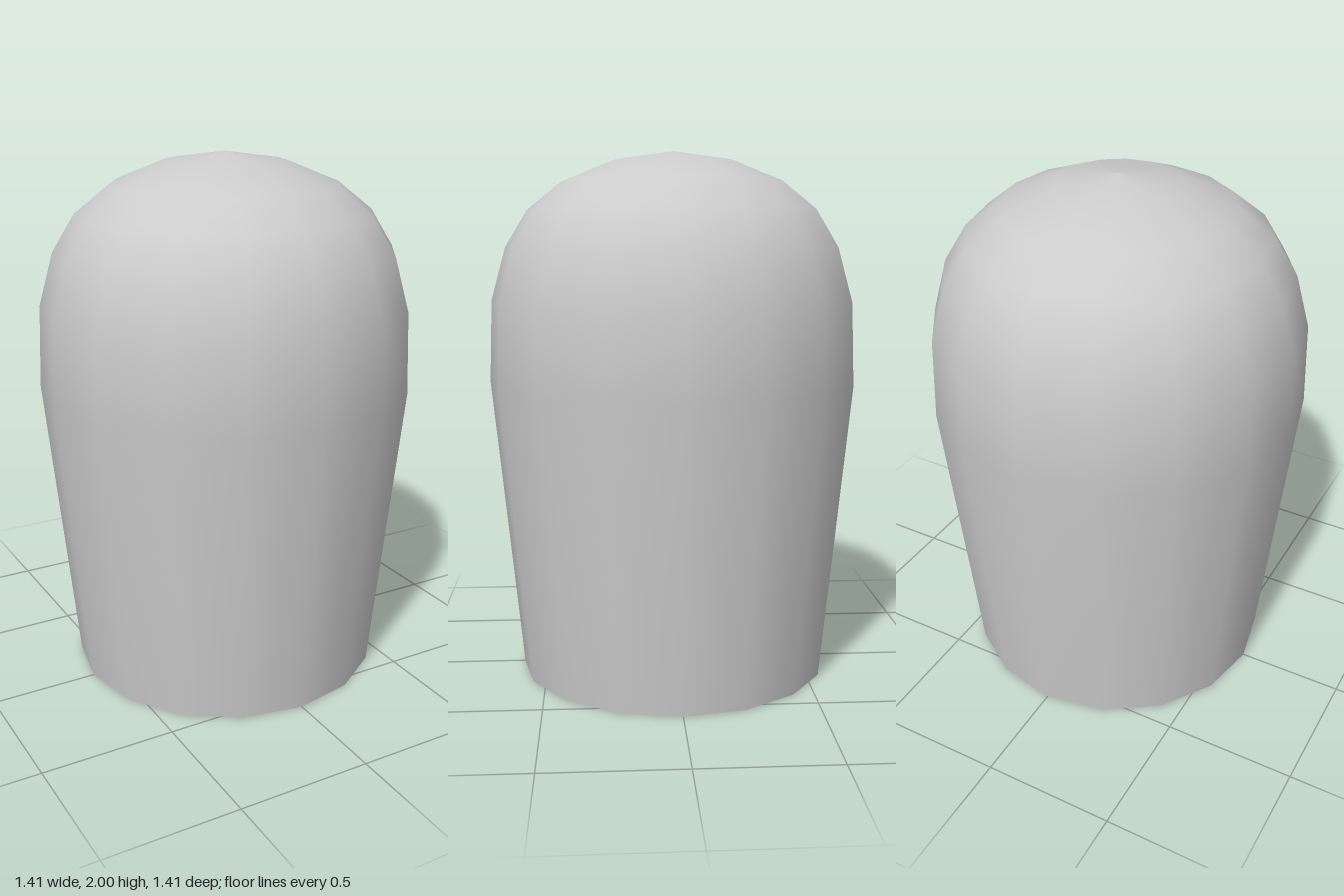
import * as THREE from 'three';

export function createModel() {
  const group = new THREE.Group();

  // Thin domed shell, open at the bottom
  const profile = [
    [0.593, 0], [0.706, 1.13], [0.695, 1.44], [0.64, 1.64],
    [0.555, 1.78], [0.425, 1.885], [0.23, 1.965], [0, 2],
  ].map(([r, y]) => new THREE.Vector2(r, y));
  const shell = new THREE.Mesh(
    new THREE.LatheGeometry(profile, 16),
    new THREE.MeshStandardMaterial({ color: 0xcccccc, side: THREE.DoubleSide }),
  );
  shell.name = 'domedShell';
  group.add(shell);

  // Oval stem hanging inside, widening towards its lower end
  const bottom = 0.04, top = 1.95;
  const stem = new THREE.Mesh(
    new THREE.CylinderGeometry(0.12, 0.235, top - bottom, 8),
    new THREE.MeshStandardMaterial({ color: 0xcccccc }),
  );
  stem.name = 'innerStem';
  stem.scale.z = 0.51;
  stem.position.y = (top + bottom) / 2;
  group.add(stem);

  return group;
}
